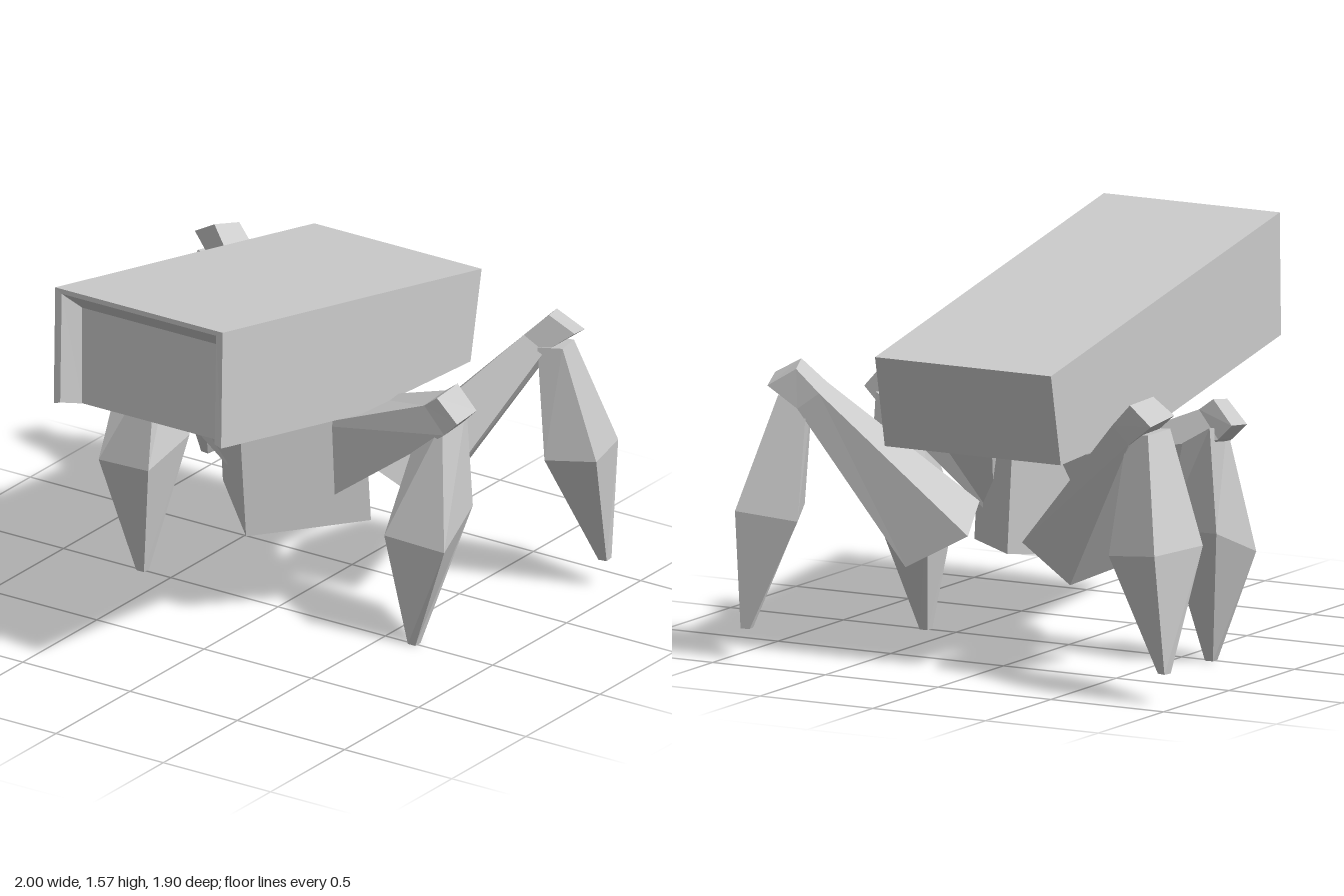
import * as THREE from 'three';

const material = new THREE.MeshStandardMaterial({ color: 0xcccccc, flatShading: true, side: THREE.DoubleSide });

// Skins a series of cross-sections; closed ones also get end caps.
function loft(name, rings, closed = true) {
  const pos = [];
  const tri = (...pts) => pts.forEach((p) => pos.push(...p));
  const n = rings[0].length;
  for (let r = 0; r + 1 < rings.length; r++) {
    const a = rings[r], b = rings[r + 1];
    for (let i = 0; i < (closed ? n : n - 1); i++) {
      const j = (i + 1) % n;
      tri(a[i], a[j], b[j], a[i], b[j], b[i]);
    }
  }
  if (closed) {
    const s = rings[0], e = rings[rings.length - 1];
    for (let i = 1; i + 1 < n; i++) {
      tri(s[0], s[i + 1], s[i]);
      tri(e[0], e[i], e[i + 1]);
    }
  }
  const g = new THREE.BufferGeometry();
  g.setAttribute('position', new THREE.Float32BufferAttribute(pos, 3));
  g.computeVertexNormals();
  const mesh = new THREE.Mesh(g, material);
  mesh.name = name;
  return mesh;
}

// Mirrors cross-sections across x, keeping the faces outward.
const mirror = (rings) => rings.map((ring) => ring.map(([x, y, z]) => [-x, y, z]).reverse());

// Rectangular section of the long box: half width, bottom and top as [y, z].
const section = (w, [by, bz], [ty, tz]) => [[w, by, bz], [w, ty, tz], [-w, ty, tz], [-w, by, bz]];

const frontThigh = [
  [[0.15, 0.8, 0.01], [0.22, 0.5, -0.02], [0.22, 0.5, -0.19], [0.15, 0.8, -0.33]],
  [[0.66, 0.99, -0.03], [0.75, 0.885, -0.035], [0.755, 0.9, -0.16], [0.67, 1.01, -0.16]],
  [[0.72, 1.035, -0.03], [0.81, 0.945, -0.035], [0.815, 0.96, -0.16], [0.73, 1.055, -0.155]],
];
const frontShin = [
  [[0.73, 0.93, -0.05], [0.61, 0.86, -0.06], [0.62, 0.88, -0.2], [0.74, 0.95, -0.2]],
  [[0.805, 0.435, 0.045], [0.55, 0.46, 0.08], [0.53, 0.53, -0.17], [0.77, 0.54, -0.2]],
  [[0.65, 0, 0.015], [0.615, 0, 0.015], [0.615, 0, -0.02], [0.65, 0, -0.02]],
];
const backThigh = [
  [[0.26, 0.575, -0.235], [0.505, 0.44, -0.29], [0.365, 0.37, -0.62], [0.12, 0.505, -0.565]],
  [[0.69, 1.07, -0.66], [0.775, 1.015, -0.675], [0.735, 0.985, -0.81], [0.65, 1.05, -0.79]],
  [[0.78, 1.16, -0.7], [0.885, 1.1, -0.72], [0.85, 1.07, -0.84], [0.74, 1.14, -0.81]],
];
const backShin = [
  [[0.85, 1.04, -0.69], [0.75, 1.03, -0.665], [0.71, 1.02, -0.78], [0.82, 1.03, -0.81]],
  [[1.0, 0.6, -0.7], [0.8, 0.58, -0.64], [0.69, 0.56, -0.885], [0.93, 0.59, -0.95]],
  [[0.945, 0.12, -0.85], [0.91, 0.12, -0.845], [0.905, 0.12, -0.88], [0.94, 0.12, -0.89]],
];

export function createModel() {
  const model = new THREE.Group();

  // Long tilted box with a bend in its underside
  const recessOuter = section(0.39, [1.07, 0.85], [1.552, 0.85]);
  model.add(loft('longBox', [
    section(0.39, [0.86, -0.735], [1.22, -0.81]),
    section(0.39, [0.9, 0], [1.383, 0]),
    recessOuter,
  ]));

  // Bevelled rim around the front recess, open below
  model.add(loft('frontRim', [
    recessOuter,
    section(0.39, [1.09, 0.95], [1.57, 0.94]),
    section(0.36, [1.1, 0.95], [1.55, 0.94]),
    section(0.325, [1.07, 0.852], [1.47, 0.852]),
  ], false));

  // Square body standing on its corner edge, leaning forward
  const body = new THREE.Mesh(new THREE.CylinderGeometry(0.345, 0.345, 0.5, 4), material);
  body.name = 'body';
  body.rotation.x = 0.09;
  body.position.set(0, 0.65, -0.105);
  model.add(body);

  // Four legs
  const legs = { front: [frontThigh, frontShin], back: [backThigh, backShin] };
  for (const [end, [thigh, shin]] of Object.entries(legs)) {
    for (const side of ['Left', 'Right']) {
      const place = side === 'Left' ? (r) => r : mirror;
      const leg = new THREE.Group();
      leg.name = `${end}${side}Leg`;
      leg.add(loft('thigh', place(thigh)), loft('shin', place(shin)));
      model.add(leg);
    }
  }
  return model;
}
